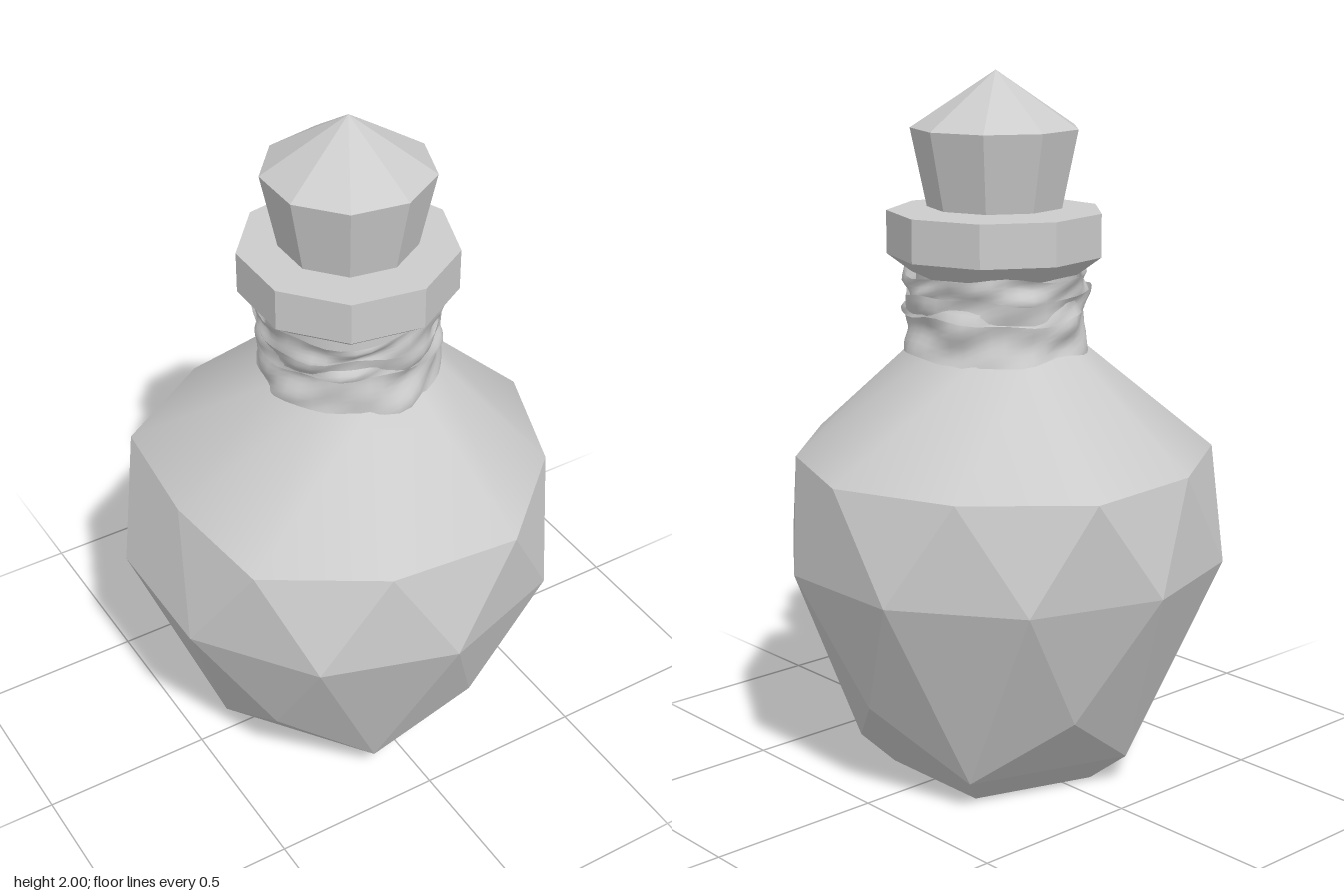
import * as THREE from 'three';
import { mergeVertices, toCreasedNormals } from 'three/addons/utils/BufferGeometryUtils.js';

const CX = 0.018; // the neck and stopper sit slightly off the body's middle

const polar = (deg, r, y, cx = 0) => {
  const a = THREE.MathUtils.degToRad(deg);
  return [cx + r * Math.cos(a), y, r * Math.sin(a)];
};

function addMesh(group, name, geometry, options = {}) {
  const material = new THREE.MeshStandardMaterial({ color: 0xcccccc, ...options });
  const mesh = new THREE.Mesh(geometry, material);
  mesh.name = name;
  group.add(mesh);
  return mesh;
}

// Faceted geometry from a list of corner points, three per face
function facets(points) {
  const g = new THREE.BufferGeometry();
  g.setAttribute('position', new THREE.Float32BufferAttribute(points.flat(), 3));
  g.computeVertexNormals();
  return g;
}

// Nine-sided solid of revolution with a corner on +x
function nineSided(profile) {
  const g = new THREE.LatheGeometry(profile.map(([r, y]) => new THREE.Vector2(r, y)), 9, Math.PI / 2);
  g.translate(CX, 0, 0);
  return toCreasedNormals(g, 0.3);
}

// Rings of the gem-like body, every 36 degrees
const upperRadius = [0.6, 0.58, 0.62, 0.585, 0.61, 0.53, 0.61, 0.585, 0.62, 0.58];
const upper = k => polar(36 * k, upperRadius[(k + 10) % 10], 0.93);
const equator = k => polar(36 * k + 18, 0.632, 0.64, -0.01);
const lower = k => (k % 2 === 0 ? polar(36 * k, 0.49, 0.28) : polar(36 * k, 0.41, 0.085));
const base = k => polar(36 * k, 0.305, 0, 0.01);

function bodyGeometry() {
  const p = [];
  for (let k = 0; k < 10; k++) {
    p.push(equator(k - 1), upper(k), equator(k));
    p.push(equator(k), upper(k), upper(k + 1));
    p.push(lower(k), equator(k - 1), equator(k));
    p.push(lower(k), equator(k), lower(k + 1));
    if (k % 2 === 0) {
      // chamfer down to the flat five-sided foot
      p.push(lower(k - 1), lower(k), lower(k + 1));
      p.push(base(k - 1), lower(k - 1), base(k + 1));
      p.push(lower(k - 1), lower(k + 1), base(k + 1));
      p.push([0, 0, 0], base(k - 1), base(k + 1));
    }
  }
  return facets(p);
}

function shoulderGeometry() {
  const p = [];
  for (let k = 0; k < 10; k++) {
    const n0 = polar(36 * k, 0.25, 1.24, CX);
    const n1 = polar(36 * k + 36, 0.25, 1.24, CX);
    p.push(upper(k), n0, upper(k + 1), n0, n1, upper(k + 1));
  }
  const g = facets(p);
  g.deleteAttribute('normal');
  const smooth = mergeVertices(g, 1e-4);
  smooth.computeVertexNormals();
  return smooth;
}

// Crumpled cloth band: pinched in the middle, with slanting folds and uneven hems
function wrapGeometry(y0, y1, radius, pinch, phase) {
  const rows = 10;
  let g = new THREE.CylinderGeometry(1, 1, 1, 40, rows, true);
  g.deleteAttribute('uv');
  g.deleteAttribute('normal');
  g = mergeVertices(g, 1e-4);
  const pos = g.attributes.position;
  for (let i = 0; i < pos.count; i++) {
    const a = Math.atan2(pos.getZ(i), pos.getX(i));
    const t = pos.getY(i) + 0.5;
    const fold = 0.007 * Math.sin(9 * t + 2 * a + phase) * Math.sin(3 * a + phase)
      + 0.005 * Math.sin(5 * a - 7 * t + 2 * phase)
      + 0.003 * Math.sin(9 * a + 11 * t);
    const r = radius - pinch * Math.sin(Math.PI * t) + fold;
    const hem = 0.008 * Math.sin(3 * a + phase + 2 * t) + 0.004 * Math.sin(7 * a + phase);
    pos.setXYZ(i, CX + r * Math.cos(a), y0 + (y1 - y0) * t + hem, r * Math.sin(a));
  }
  g.computeVertexNormals();
  return g;
}

export function createModel() {
  const bottle = new THREE.Group();
  bottle.name = 'bottle';

  addMesh(bottle, 'body', bodyGeometry(), { flatShading: true });
  addMesh(bottle, 'shoulder', shoulderGeometry());

  // Glass neck hidden under the cloth
  const neck = new THREE.CylinderGeometry(0.225, 0.225, 0.3, 18, 1, true);
  neck.translate(CX, 1.35, 0);
  addMesh(bottle, 'neck', neck);

  // Cloth wound around the neck in two overlapping turns
  const wrap = new THREE.Group();
  wrap.name = 'neckWrap';
  bottle.add(wrap);
  addMesh(wrap, 'lowerWrap', wrapGeometry(1.23, 1.40, 0.258, 0.012, 0.4), { side: THREE.DoubleSide });
  addMesh(wrap, 'upperWrap', wrapGeometry(1.34, 1.455, 0.254, 0.008, 2.1), { side: THREE.DoubleSide });

  // Lip with a sloping underside
  addMesh(bottle, 'rim', nineSided([[0, 1.45], [0.235, 1.45], [0.302, 1.5], [0.302, 1.62], [0, 1.62]]));

  // Flared stopper with a pointed top
  addMesh(bottle, 'stopper', nineSided([[0, 1.62], [0.19, 1.63], [0.235, 1.845], [0, 2]]));

  return bottle;
}
